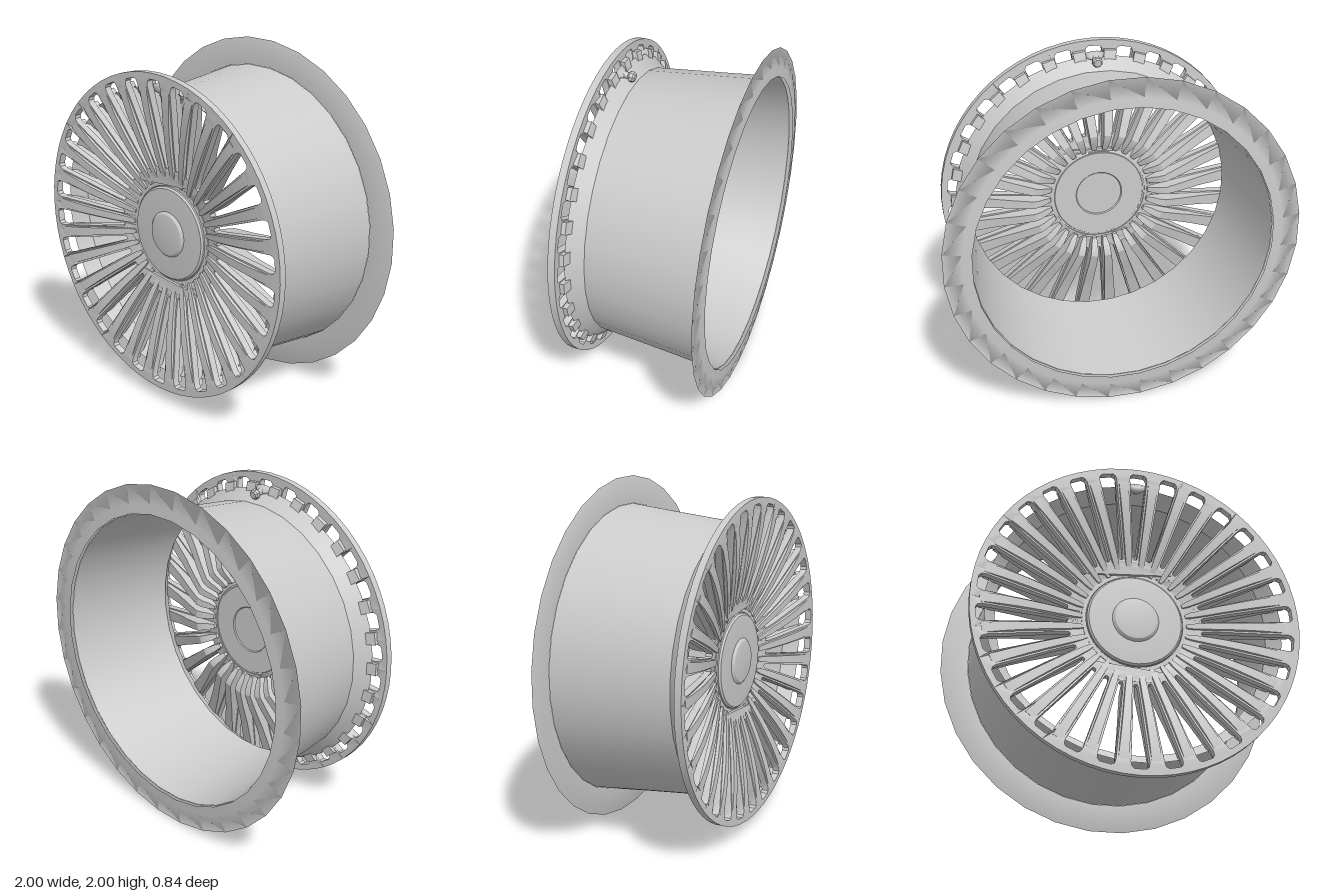
import * as THREE from 'three';
import { toCreasedNormals } from 'three/addons/utils/BufferGeometryUtils.js';

const SPOKES = 30;
const STEP = (Math.PI * 2) / SPOKES;
const SIDES = 32;
const grey = new THREE.MeshStandardMaterial({ color: 0xcccccc });
const greyOpen = new THREE.MeshStandardMaterial({ color: 0xcccccc, side: THREE.DoubleSide });

// piecewise linear lookup through [input, output] pairs
function lookup(table, v) {
  if (v <= table[0][0]) return table[0][1];
  for (let i = 1; i < table.length; i++) {
    const [a, fa] = table[i - 1], [b, fb] = table[i];
    if (v <= b) return fa + ((fb - fa) * (v - a)) / (b - a);
  }
  return table[table.length - 1][1];
}

// dished face: z of the spoke fronts, the plate and the spoke backs by radius
const dish = r => THREE.MathUtils.clamp((0.86 - r) / 0.56, 0, 1);
const faceZ = r => 0.42 - 0.1 * dish(r) ** 1.6;
const plateZ = r => faceZ(r) - 0.018 * Math.min(1, dish(r) * 4);
const backZ = r => lookup([[0.27, 0.26], [0.39, 0.2], [0.5, 0.235], [0.65, 0.29], [0.87, 0.355]], r);

function add(parent, name, geometry, material = grey) {
  const mesh = new THREE.Mesh(geometry, material);
  mesh.name = name;
  parent.add(mesh);
  return mesh;
}

// solid of revolution around z, from [radius, z] points
function turned(points, sides = SIDES) {
  const g = new THREE.LatheGeometry(points.map(p => new THREE.Vector2(...p)), sides, Math.PI / sides);
  return g.rotateX(Math.PI / 2);
}

// tapered slot with rounded ends, turned to the given angle
function slotPath(angle) {
  const right = [
    [0.008, 0.383], [0.013, 0.395], [0.02, 0.48], [0.029, 0.6], [0.037, 0.7],
    [0.044, 0.79], [0.05, 0.855], [0.046, 0.878], [0.032, 0.89],
  ];
  const left = right.map(([x, y]) => [-x, y]).reverse();
  return new THREE.Path([...right, ...left].map(([x, y]) =>
    new THREE.Vector2(x, y).rotateAround(new THREE.Vector2(), angle)));
}

// slotted face plate with its outer ring
function facePlate() {
  const shape = new THREE.Shape();
  for (let i = 0; i < SIDES * 2; i++) {
    const a = (i * Math.PI) / SIDES;
    const p = [0.925 * Math.cos(a), 0.925 * Math.sin(a)];
    i ? shape.lineTo(...p) : shape.moveTo(...p);
  }
  shape.closePath();
  shape.holes.push(new THREE.Path().absarc(0, 0, 0.28, 0, Math.PI * 2, true));
  for (let i = 0; i < SPOKES; i++) shape.holes.push(slotPath(i * STEP));
  const g = new THREE.ExtrudeGeometry(shape, { depth: 1, bevelEnabled: false, curveSegments: 30 });
  const p = g.attributes.position;
  for (let i = 0; i < p.count; i++) {
    const r = Math.hypot(p.getX(i), p.getY(i));
    p.setZ(i, plateZ(r) - 0.04 * (1 - p.getZ(i)));
  }
  return toCreasedNormals(g, 0.5);
}

// deep spoke blade, narrower at its front, with a crest behind near the hub
function spokeBlade() {
  const g = new THREE.BoxGeometry(1, 1, 1, 1, 16, 1);
  const p = g.attributes.position;
  for (let i = 0; i < p.count; i++) {
    const r = 0.295 + (p.getY(i) + 0.5) * 0.575;
    const front = p.getZ(i) > 0;
    const half = lookup([[0.295, 0.012], [0.33, 0.019], [0.42, 0.024], [0.6, 0.028], [0.87, 0.036]], r);
    p.setXYZ(i, p.getX(i) * 2 * half * (front ? 0.8 : 1), r, front ? faceZ(r) - 0.002 : backZ(r));
  }
  return toCreasedNormals(g, 0.5);
}

// valve stem on the front shoulder of the barrel
function valve() {
  const group = new THREE.Group();
  group.name = 'valve';
  const base = add(group, 'valveBase', turned([[0, -0.025], [0.03, -0.025], [0.07, 0.015], [0, 0.015]], 12));
  base.scale.y = 0.4;
  add(group, 'valveStem', turned([[0.017, -0.06], [0.02, -0.015]], 12));
  add(group, 'valveCap', toCreasedNormals(turned(
    [[0, -0.085], [0.022, -0.085], [0.03, -0.075], [0.03, -0.055], [0.02, -0.045], [0, -0.045]], 8), 0.6));
  group.position.set(0, 0.835, 0.355);
  group.rotation.x = -0.15;
  return group;
}

export function createModel() {
  const model = new THREE.Group();
  model.name = 'wheelRim';
  const wheel = new THREE.Group();
  wheel.name = 'wheel';
  wheel.position.y = 1;
  model.add(wheel);

  // barrel with its flared rear lip and sloping front shoulder
  add(wheel, 'barrel', turned([[0.845, -0.4], [0.82, -0.17], [0.797, 0.06], [0.775, 0.28]]), greyOpen);
  add(wheel, 'rearLip', turned([[0.846, -0.42], [0.9, -0.415], [1.005, -0.403], [0.846, -0.4]]), greyOpen);
  add(wheel, 'frontShoulder', turned([[0.775, 0.28], [0.84, 0.362]]), greyOpen);

  // face and spokes
  add(wheel, 'facePlate', facePlate());
  const blade = spokeBlade();
  for (let i = 0; i < SPOKES; i++) {
    add(wheel, 'spoke', blade).rotation.z = (i + 0.5) * STEP;
  }

  // hub with a raised centre in front and a shallow recess behind
  add(wheel, 'hubCap', toCreasedNormals(turned([
    [0, 0.27], [0.135, 0.27], [0.14, 0.264], [0.268, 0.264], [0.272, 0.27], [0.272, 0.318],
    [0.262, 0.328], [0.2, 0.332], [0.132, 0.333], [0.118, 0.346], [0.1, 0.349], [0, 0.349],
  ], 48), 0.5));
  add(wheel, 'hubCollar', toCreasedNormals(turned([
    [0.268, 0.268], [0.3, 0.268], [0.3, 0.312], [0.276, 0.312], [0.276, 0.3], [0.268, 0.3],
  ], 48), 0.5));

  wheel.add(valve());
  return model;
}
